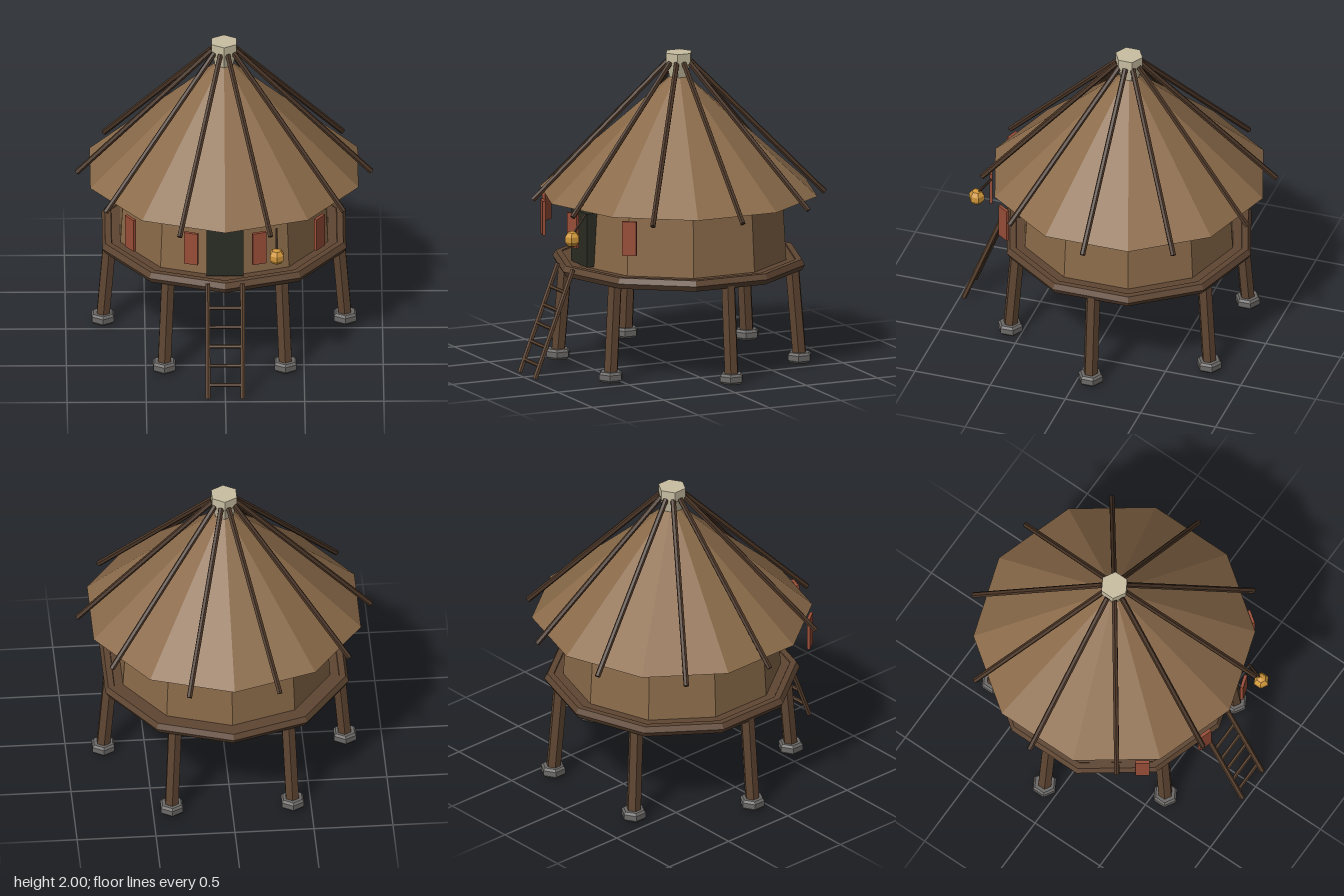
import * as THREE from 'three';

const mat = (name, color) => {
  const m = new THREE.MeshStandardMaterial({ color, flatShading: true });
  m.name = name;
  return m;
};

export function createModel() {
  const group = new THREE.Group();
  const thatch = mat('thatch', 0x8b6b4a);
  const wood = mat('wood', 0x5e4532);
  const poleWood = mat('darkWood', 0x4a3526);
  const doorDark = mat('doorDark', 0x2b2e24);
  const shutterRed = mat('shutterRed', 0x9a4e38);
  const stone = mat('stone', 0x6c6a68);
  const bone = mat('paleCap', 0xc9bfa2);
  const amber = mat('amber', 0xd0973a);

  const Z0 = -0.09; // centre of the round hut
  const V = (x, y, z) => new THREE.Vector3(x, y, z);

  function add(name, geometry, material, x = 0, y = 0, z = 0) {
    const mesh = new THREE.Mesh(geometry, material);
    mesh.name = name;
    mesh.position.set(x, y, z);
    group.add(mesh);
    return mesh;
  }

  // straight rod from a to b
  function rod(name, a, b, rA, rB, material, sides = 6) {
    const d = b.clone().sub(a);
    const mesh = add(name, new THREE.CylinderGeometry(rB, rA, d.length(), sides), material);
    mesh.position.copy(a).addScaledVector(d, 0.5);
    mesh.quaternion.setFromUnitVectors(V(0, 1, 0), d.normalize());
    return mesh;
  }

  // point on a circle about the hut's axis, angle 0 = front
  const polar = (angle, r, y) => V(r * Math.sin(angle), y, Z0 + r * Math.cos(angle));

  // walls, roof and smoke cap
  add('wall', new THREE.CylinderGeometry(0.665, 0.69, 0.42, 10), thatch, 0, 0.89, Z0);
  add('roof', new THREE.CylinderGeometry(0.05, 0.89, 0.75, 10), thatch, 0, 1.475, Z0);
  add('roofCap', new THREE.CylinderGeometry(0.09, 0.09, 0.07, 6), bone, 0, 1.965, Z0);
  add('roofCapNeck', new THREE.CylinderGeometry(0.085, 0.065, 0.09, 6), bone, 0, 1.89, Z0);

  // roof poles, one over the middle of each roof face
  for (let i = 0; i < 10; i++) {
    const a = Math.PI / 10 + (i * Math.PI) / 5;
    rod('roofPole', polar(a, 0.93, 1.07), polar(a, 0.075, 1.94), 0.018, 0.018, poleWood);
  }

  // deck with a beam rim
  add('deckFloor', new THREE.CylinderGeometry(0.775, 0.775, 0.05, 10), wood, 0, 0.659, Z0);
  const rim = new THREE.TorusGeometry(0.77, 0.04, 6, 10);
  rim.rotateZ(Math.PI / 10).rotateX(-Math.PI / 2);
  add('deckRim', rim, wood, 0, 0.655, Z0);

  // six splayed legs on stone feet
  const footProfile = [[0, 0.01], [0.068, 0.01], [0.081, 0.025], [0.081, 0.06], [0.068, 0.075], [0, 0.075]]
    .map(([x, y]) => new THREE.Vector2(x, y));
  for (let i = 0; i < 6; i++) {
    const a = Math.PI / 6 + (i * Math.PI) / 3;
    rod('leg', polar(a, 0.765, 0.04), polar(a, 0.715, 0.66), 0.047, 0.047, wood);
    const p = polar(a, 0.765, 0);
    add('footStone', new THREE.LatheGeometry(footProfile, 6), stone, p.x, 0, p.z);
  }

  // door
  add('door', new THREE.BoxGeometry(0.235, 0.345, 0.08), doorDark, 0, 0.867, 0.57);

  // ladder
  const ladderZ = (y) => 0.975 - (y / 0.69) * 0.27;
  for (const s of [-1, 1]) {
    rod('ladderRail', V(s * 0.11, 0.008, ladderZ(0.008)), V(s * 0.11, 0.69, ladderZ(0.69)), 0.017, 0.017, wood);
  }
  for (let i = 0; i < 5; i++) {
    const y = 0.09 + i * 0.114;
    rod('ladderRung', V(-0.11, y, ladderZ(y)), V(0.11, y, ladderZ(y)), 0.012, 0.012, wood);
  }

  // shutters hanging below the eaves, mirrored
  for (const s of [-1, 1]) {
    for (const [x, z, deg] of [[0.215, 0.757, 18], [0.597, 0.545, 54]]) {
      const shutter = add('shutter', new THREE.BoxGeometry(0.09, 0.22, 0.02), shutterRed, s * x, 0.97, z);
      shutter.rotation.y = s * THREE.MathUtils.degToRad(deg);
    }
  }

  // lantern on a slanted hook
  rod('lanternHook', V(0.325, 1.09, 0.72), V(0.325, 0.97, 0.81), 0.008, 0.008, poleWood);
  const lantern = new THREE.SphereGeometry(0.053, 6, 5);
  lantern.rotateY(Math.PI / 6);
  add('lantern', lantern, amber, 0.325, 0.94, 0.815);

  return group;
}
